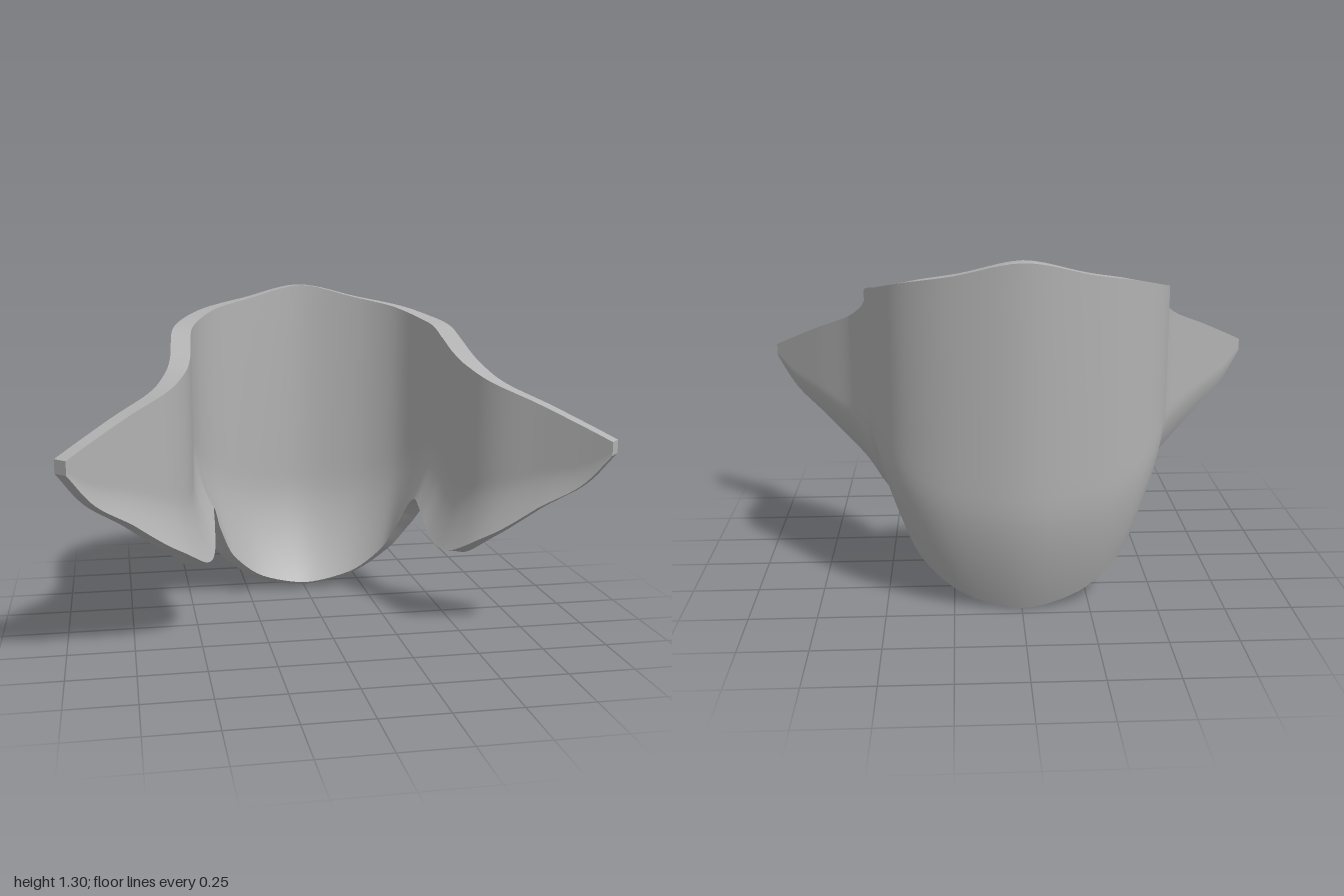
import * as THREE from 'three';

// Stations along the right-hand half of the band, from the middle of the back to the wing tip:
// outer x, outer z, top y, bottom y, inward curl at the bottom, thickness
const HALF = [
  [0, -0.565, 1.305, 0, 0.11, 0.065],
  [0.24, -0.52, 1.255, 0.05, 0.095, 0.065],
  [0.41, -0.435, 1.22, 0.17, 0.075, 0.07],
  [0.51, -0.32, 1.185, 0.31, 0.072, 0.075],
  [0.56, -0.18, 1.155, 0.42, 0.075, 0.075],
  [0.575, -0.06, 1.11, 0.38, 0.08, 0.075],
  [0.585, 0.05, 1.065, 0.30, 0.08, 0.075],
  [0.61, 0.14, 1.02, 0.295, 0.075, 0.075],
  [0.67, 0.23, 0.965, 0.38, 0.06, 0.07],
  [0.8, 0.34, 0.9, 0.51, 0.035, 0.065],
  [0.92, 0.445, 0.835, 0.615, 0.015, 0.06],
  [1, 0.515, 0.79, 0.74, 0, 0.06],
];

// Grid surface from a rule, facing the direction (u cross v)
function surface(rule, nu, nv) {
  const pos = [], index = [];
  for (let i = 0; i <= nu; i++) {
    for (let j = 0; j <= nv; j++) pos.push(...rule(i / nu, j / nv));
  }
  for (let i = 0; i < nu; i++) {
    for (let j = 0; j < nv; j++) {
      const a = i * (nv + 1) + j, b = a + nv + 1;
      index.push(a, b, b + 1, a, b + 1, a + 1);
    }
  }
  const g = new THREE.BufferGeometry();
  g.setAttribute('position', new THREE.Float32BufferAttribute(pos, 3));
  g.setIndex(index);
  g.computeVertexNormals();
  return g;
}

export function createModel() {
  const group = new THREE.Group();
  group.name = 'curvedGuard';
  const grey = new THREE.MeshStandardMaterial({ color: 0xb2b2b2 });
  grey.name = 'plain grey';

  // Mirror the stations and run smooth curves through them
  const left = HALF.slice(1).reverse().map(([x, ...rest]) => [-x, ...rest]);
  const stations = [...left, ...HALF];
  const curve = (pick) => new THREE.CatmullRomCurve3(
    stations.map((s) => new THREE.Vector3(...pick(s))), false, 'catmullrom', 0.5);
  const plan = curve((s) => [s[0], s[2], s[1]]);
  const form = curve((s) => [s[4], s[3], s[5]]);

  // Point on the band: u along it, v from bottom to top, w from outer to inner face
  const point = (u, v, w) => {
    const p = plan.getPoint(u), f = form.getPoint(u);
    const a = plan.getPoint(Math.max(0, u - 0.004));
    const b = plan.getPoint(Math.min(1, u + 0.004));
    const len = Math.hypot(b.x - a.x, b.z - a.z);
    const nx = -(b.z - a.z) / len, nz = (b.x - a.x) / len;
    const curl = f.x * Math.pow(Math.max(0, 1 - v / 0.34), 1.7);
    const d = curl + f.z * w;
    const bottom = f.y + 0.25 * f.x * w;
    return [p.x + nx * d, bottom + (p.y - bottom) * v, p.z + nz * d];
  };

  const add = (name, rule, nu, nv) => {
    const mesh = new THREE.Mesh(surface(rule, nu, nv), grey);
    mesh.name = name;
    group.add(mesh);
  };
  const N = 132;
  const rise = (t) => Math.pow(t, 1.5); // more rows in the curled lower part
  add('innerFace', (u, t) => point(u, rise(t), 1), N, 24);
  add('outerFace', (u, t) => point(u, rise(1 - t), 0), N, 24);
  add('topRim', (u, t) => point(u, 1, 1 - t), N, 1);
  add('bottomRim', (u, t) => point(u, 0, t), N, 1);
  add('leftWingTip', (s, t) => point(1, t, 1 - s), 1, 1);
  add('rightWingTip', (s, t) => point(0, t, s), 1, 1);
  return group;
}
